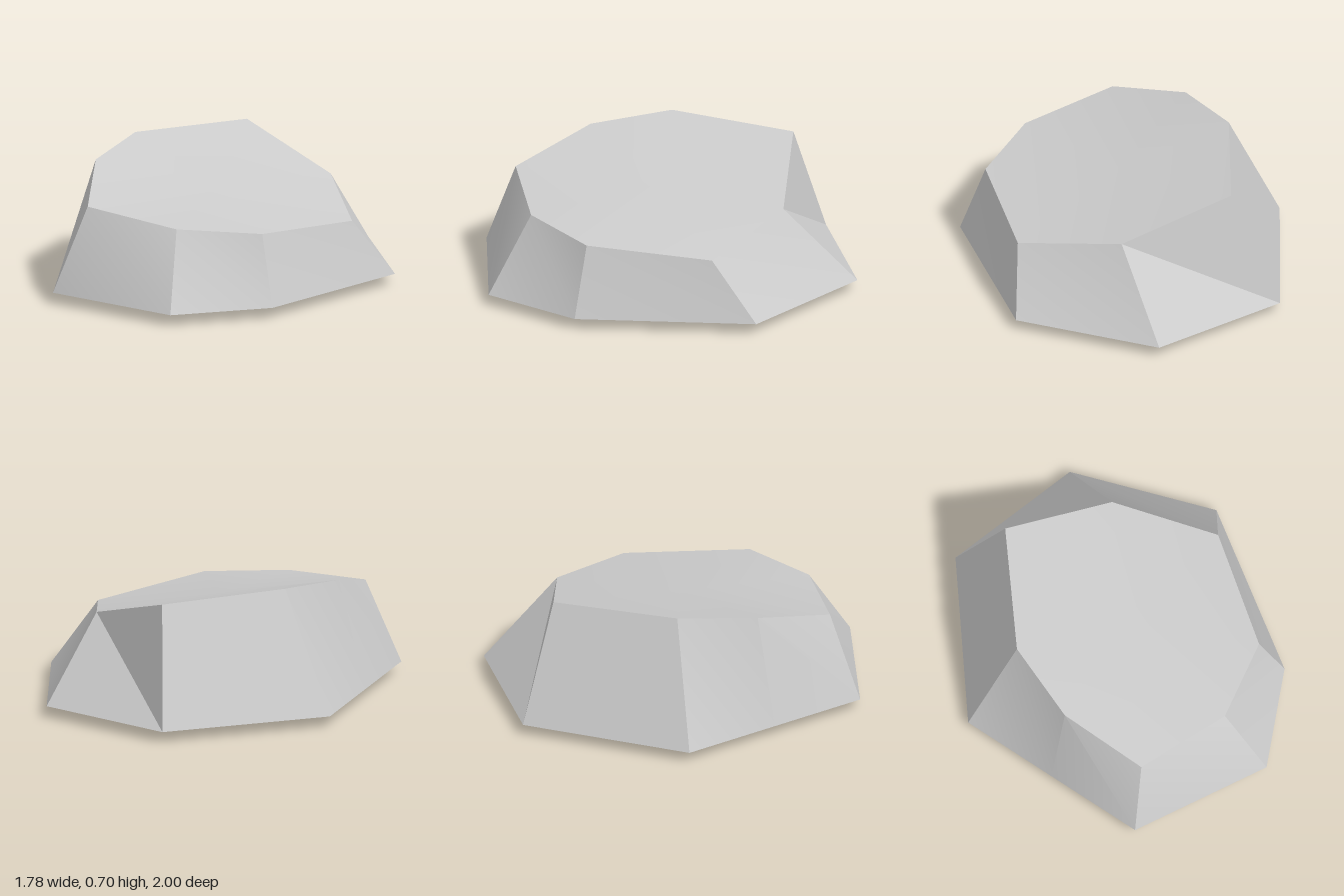
import * as THREE from 'three';
import { toCreasedNormals } from 'three/addons/utils/BufferGeometryUtils.js';

// Cut rock: two matching rings of corners, closed by shallow fans.
const baseY = 0.06;
const baseRing = [
  [0, -1], [0.71, -0.7], [0.89, 0.08], [0.28, 0.82],
  [-0.25, 1], [-0.89, 0.56], [-0.835, 0.03], [-0.78, -0.5],
].map(([x, z]) => [x, baseY, z]);

const rimRing = [
  [0.07, 0.68, -0.74], [0.53, 0.49, -0.35], [0.67, 0.38, 0.21], [0.22, 0.43, 0.7],
  [-0.23, 0.46, 0.74], [-0.71, 0.515, 0.5], [-0.69, 0.65, 0.03], [-0.5, 0.7, -0.36],
];

const topCentre = [-0.04, 0.53, 0.02];
const bottomCentre = [0, 0, 0.02];

function rockGeometry() {
  const positions = [];
  const triangle = (a, b, c) => positions.push(...a, ...b, ...c);
  const count = baseRing.length;
  for (let i = 0; i < count; i++) {
    const j = (i + 1) % count;
    // Side facet
    triangle(baseRing[i], rimRing[i], rimRing[j]);
    triangle(baseRing[i], rimRing[j], baseRing[j]);
    // Sloping top and shallow pointed underside
    triangle(topCentre, rimRing[j], rimRing[i]);
    triangle(bottomCentre, baseRing[i], baseRing[j]);
  }
  const geometry = new THREE.BufferGeometry();
  geometry.setAttribute('position', new THREE.Float32BufferAttribute(positions, 3));
  return toCreasedNormals(geometry, 0.4);
}

export function createModel() {
  const group = new THREE.Group();
  group.name = 'rock';
  const stone = new THREE.Mesh(
    rockGeometry(),
    new THREE.MeshStandardMaterial({ color: 0xcccccc }),
  );
  stone.name = 'stone';
  group.add(stone);
  return group;
}
